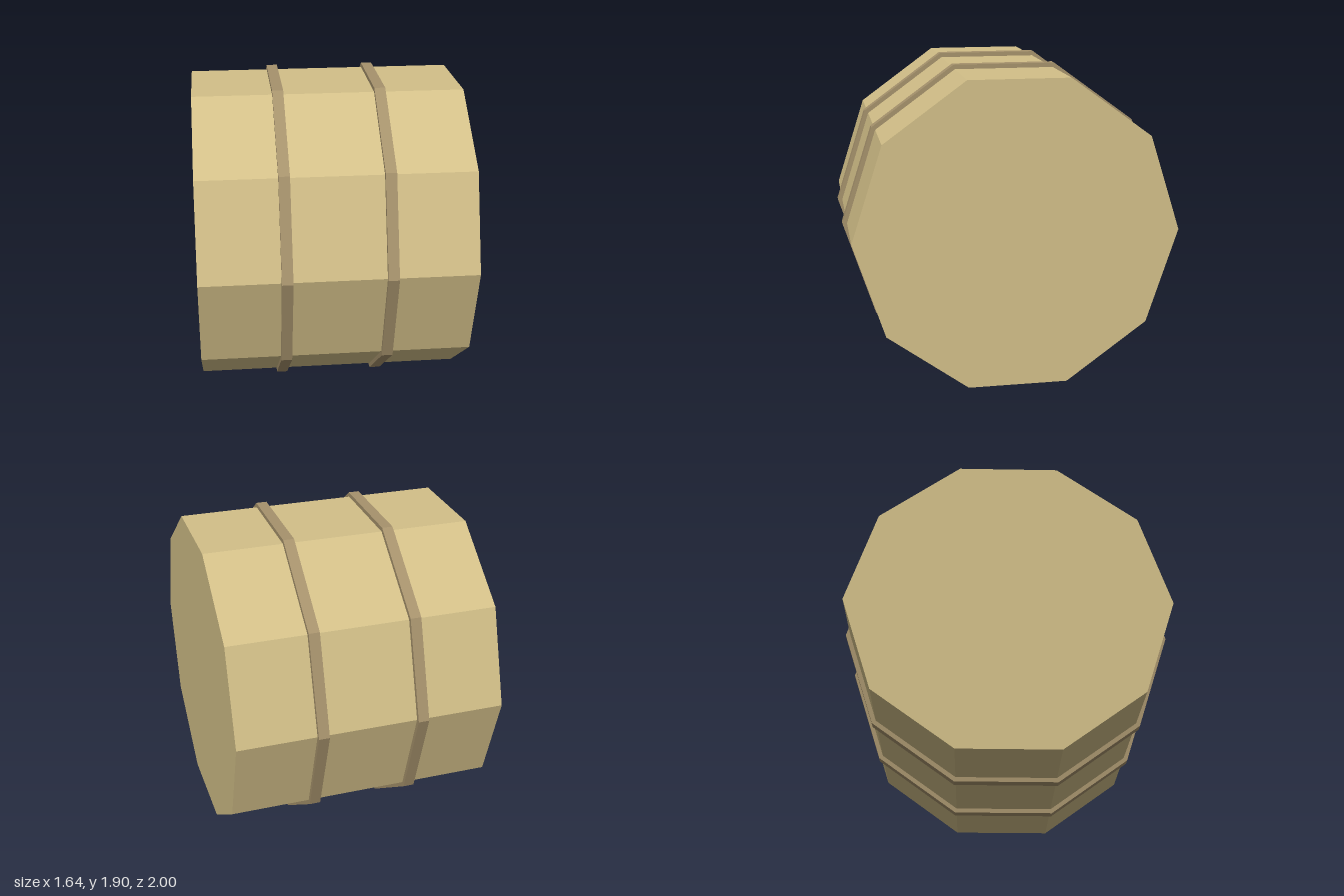
import * as THREE from 'three';

const SIDES = 10;
const RADIUS = 1;
const CENTER_Y = RADIUS * Math.cos(Math.PI / SIDES); // outer hoops rest flat on the ground

// Ten-sided prism lying along x
function prism(name, radius, length, x, color) {
  const geometry = new THREE.CylinderGeometry(radius, radius, length, SIDES);
  geometry.rotateZ(Math.PI / 2);
  const material = new THREE.MeshStandardMaterial({ color, flatShading: true });
  const mesh = new THREE.Mesh(geometry, material);
  mesh.name = name;
  mesh.position.set(x, CENTER_Y, 0);
  return mesh;
}

export function createModel() {
  const group = new THREE.Group();
  group.name = 'barrel';

  // Barrel body
  group.add(prism('body', 0.972, 1.636, 0, 0xd2bf88));

  // Two raised hoops, mirrored about the middle
  for (const [name, side] of [['leftHoop', 1], ['rightHoop', -1]]) {
    group.add(prism(name, RADIUS, 0.066, side * 0.306, 0xa6926c));
  }
  return group;
}
